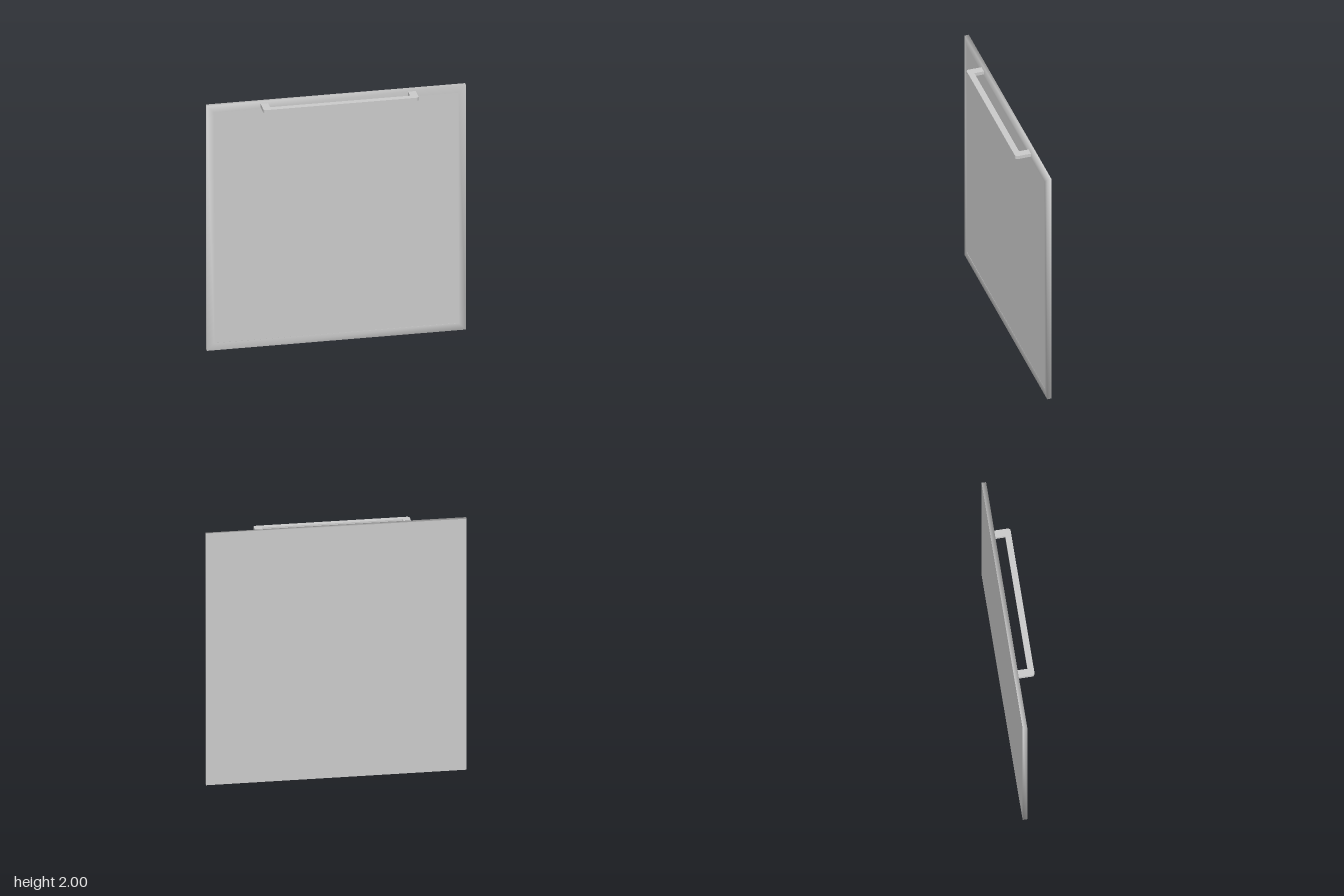
import * as THREE from 'three';

const grey = () => new THREE.MeshStandardMaterial({ color: 0xcccccc });

const W = 0.987, H = 1;            // half width and half height of the door
const BACK = -0.08, FRONT = -0.045;
const BORDER = 0.058, RECESS = 0.003;

function add(group, name, geometry) {
  const mesh = new THREE.Mesh(geometry, grey());
  mesh.name = name;
  group.add(mesh);
  return mesh;
}

// Softly shaded border: rectangular loops joined from the back edge to the inner lip
function frameGeometry() {
  const loops = [[0, BACK], [0, FRONT], [BORDER, FRONT], [BORDER, FRONT - RECESS]];
  const corners = [[-1, -1], [1, -1], [1, 1], [-1, 1]];
  const pos = [], index = [];
  for (const [inset, z] of loops)
    for (const [sx, sy] of corners) pos.push(sx * (W - inset), H + sy * (H - inset), z);
  for (let l = 0; l < loops.length - 1; l++)
    for (let i = 0; i < 4; i++) {
      const j = (i + 1) % 4, a = l * 4 + i, b = l * 4 + j;
      index.push(a, b, b + 4, a, b + 4, a + 4);
    }
  const g = new THREE.BufferGeometry();
  g.setAttribute('position', new THREE.Float32BufferAttribute(pos, 3));
  g.setIndex(index);
  g.computeVertexNormals();
  return g;
}

// U-shaped pull drawn in plan (x, z) and extruded downwards
function handleGeometry() {
  const x0 = -0.578, x1 = 0.603, leg = 0.058, zIn = 0.03, zOut = 0.077, r = 0.02;
  const s = new THREE.Shape();
  s.moveTo(x0, FRONT);
  s.lineTo(x0 + leg, FRONT);
  s.lineTo(x0 + leg, zIn);
  s.lineTo(x1 - leg, zIn);
  s.lineTo(x1 - leg, FRONT);
  s.lineTo(x1, FRONT);
  s.lineTo(x1, zOut - r);
  s.absarc(x1 - r, zOut - r, r, 0, Math.PI / 2);
  s.lineTo(x0 + r, zOut);
  s.absarc(x0 + r, zOut - r, r, Math.PI / 2, Math.PI);
  s.closePath();
  const g = new THREE.ExtrudeGeometry(s, { depth: 0.027, bevelEnabled: false, curveSegments: 6 });
  return g.rotateX(Math.PI / 2).translate(0, 1.985, 0);
}

export function createModel() {
  const group = new THREE.Group();
  group.name = 'doorPanel';

  add(group, 'frame', frameGeometry());

  // Flat field inside the border
  add(group, 'frontPanel', new THREE.PlaneGeometry(2 * (W - BORDER), 2 * (H - BORDER)))
    .position.set(0, H, FRONT - RECESS);

  // Flat rear face
  add(group, 'backPanel', new THREE.PlaneGeometry(2 * W, 2 * H).rotateY(Math.PI))
    .position.set(0, H, BACK);

  add(group, 'handle', handleGeometry());
  return group;
}
